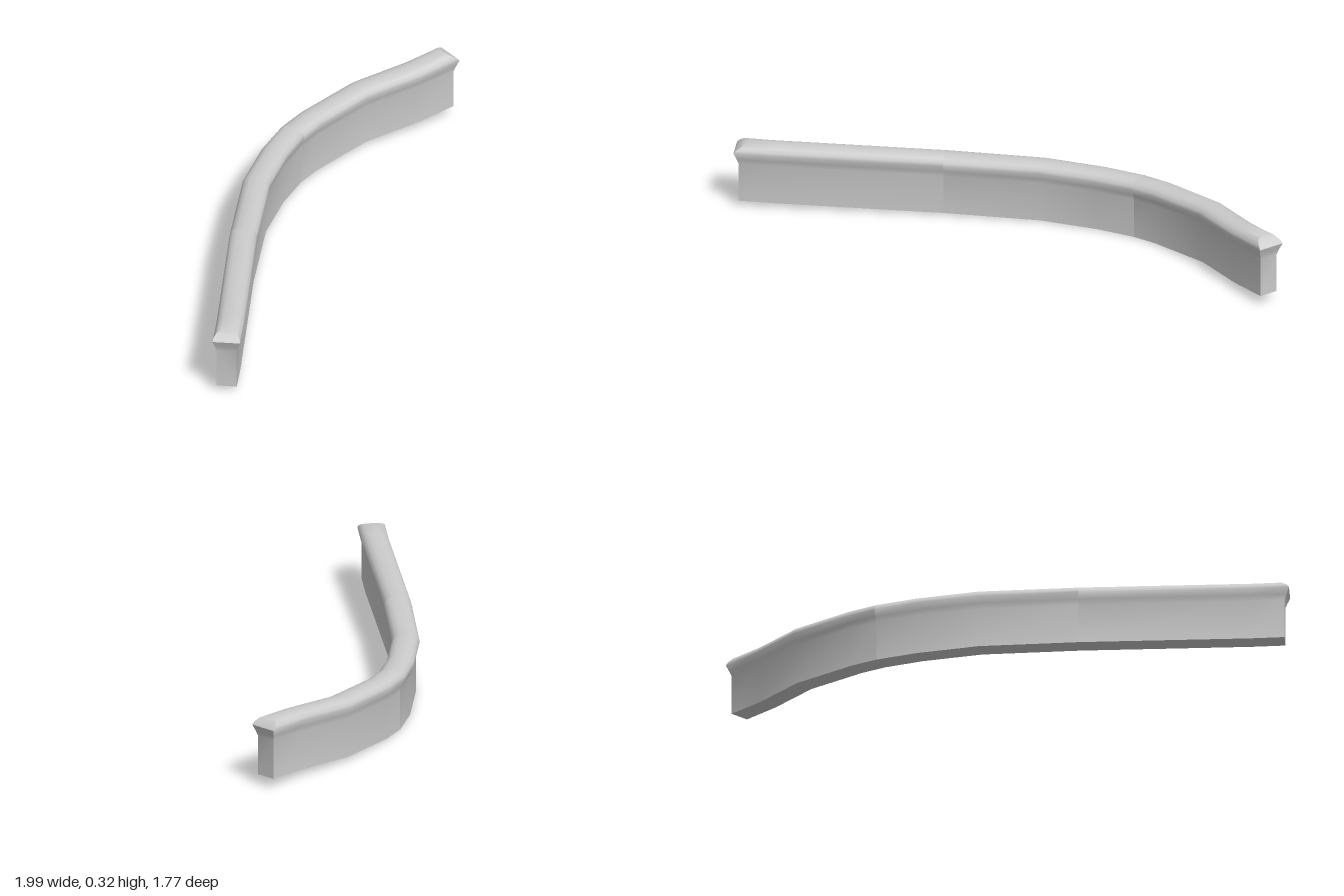
import * as THREE from 'three';
import { toCreasedNormals } from 'three/addons/utils/BufferGeometryUtils.js';

// Wall centre line: x, z, base height
const PATH = [
  [-0.94, 0.83, 0.025], [-0.86, 0.705, 0.022], [-0.475, 0.06, 0.009],
  [-0.235, -0.3, 0.003], [-0.05, -0.495, 0], [0.095, -0.61, 0.001],
  [0.21, -0.668, 0.005], [0.5, -0.765, 0.019], [0.775, -0.79, 0.034], [0.96, -0.825, 0.044],
];

// Half of the cross-section: half width, height, overhang at the free ends
const HALF = [
  [0.044, 0, 0], [0.044, 0.18, 0], [0.051, 0.204, 0.008], [0.061, 0.234, 0.02],
  [0.058, 0.247, 0.01], [0.046, 0.262, -0.014], [0.027, 0.27, -0.03],
];
const PROFILE = [
  ...HALF,
  [0, 0.272, -0.033],
  ...HALF.slice().reverse().map(([w, h, e]) => [-w, h, e]),
];
const N = PROFILE.length;
const LAST = PATH.length - 1;

// One mitred cross-section at path point k
function ring(k) {
  const p = new THREE.Vector2(PATH[k][0], PATH[k][1]);
  const at = (i) => new THREE.Vector2(PATH[i][0], PATH[i][1]);
  const before = k > 0 ? p.clone().sub(at(k - 1)).normalize() : null;
  const after = k < LAST ? at(k + 1).sub(p).normalize() : null;
  const t = (before || after).clone().add(after || before).normalize();
  const miter = 1 / t.dot(before || after);
  const end = k === 0 ? -1 : k === LAST ? 1 : 0;
  return PROFILE.map(([w, h, e]) => [
    p.x - t.y * w * miter + t.x * e * end,
    PATH[k][2] + h,
    p.y + t.x * w * miter + t.y * e * end,
  ]);
}

// Loft the sections from path point `from` to `to`
function wallSection(name, from, to, material) {
  const positions = [];
  const index = [];
  const quad = (a, b, c, d) => index.push(a, b, c, a, c, d);
  for (let k = from; k <= to; k++) positions.push(...ring(k).flat());

  for (let k = 0; k < to - from; k++) {
    for (let i = 0; i < N; i++) {
      const j = (i + 1) % N; // wraps around to close the underside
      quad(k * N + i, (k + 1) * N + i, (k + 1) * N + j, k * N + j);
    }
  }
  // Free ends, closed by strips from one side of the profile to the other
  const middle = (N - 1) / 2;
  for (let i = 0; i < middle; i++) {
    const l = i, r = N - 1 - i;
    if (from === 0) quad(l, l + 1, r - 1, r);
    if (to === LAST) {
      const o = (to - from) * N;
      quad(o + l, o + r, o + r - 1, o + l + 1);
    }
  }

  const geometry = new THREE.BufferGeometry();
  geometry.setAttribute('position', new THREE.Float32BufferAttribute(positions, 3));
  geometry.setIndex(index);
  const mesh = new THREE.Mesh(toCreasedNormals(geometry, THREE.MathUtils.degToRad(38)), material);
  mesh.name = name;
  return mesh;
}

export function createModel() {
  const group = new THREE.Group();
  group.name = 'curvedWall';
  const material = new THREE.MeshStandardMaterial({ color: 0xcccccc });
  // Three lengths of wall meeting at two joints
  group.add(
    wallSection('straightWallSection', 0, 2, material),
    wallSection('middleWallSection', 2, 5, material),
    wallSection('curvedWallSection', 5, LAST, material),
  );
  return group;
}
